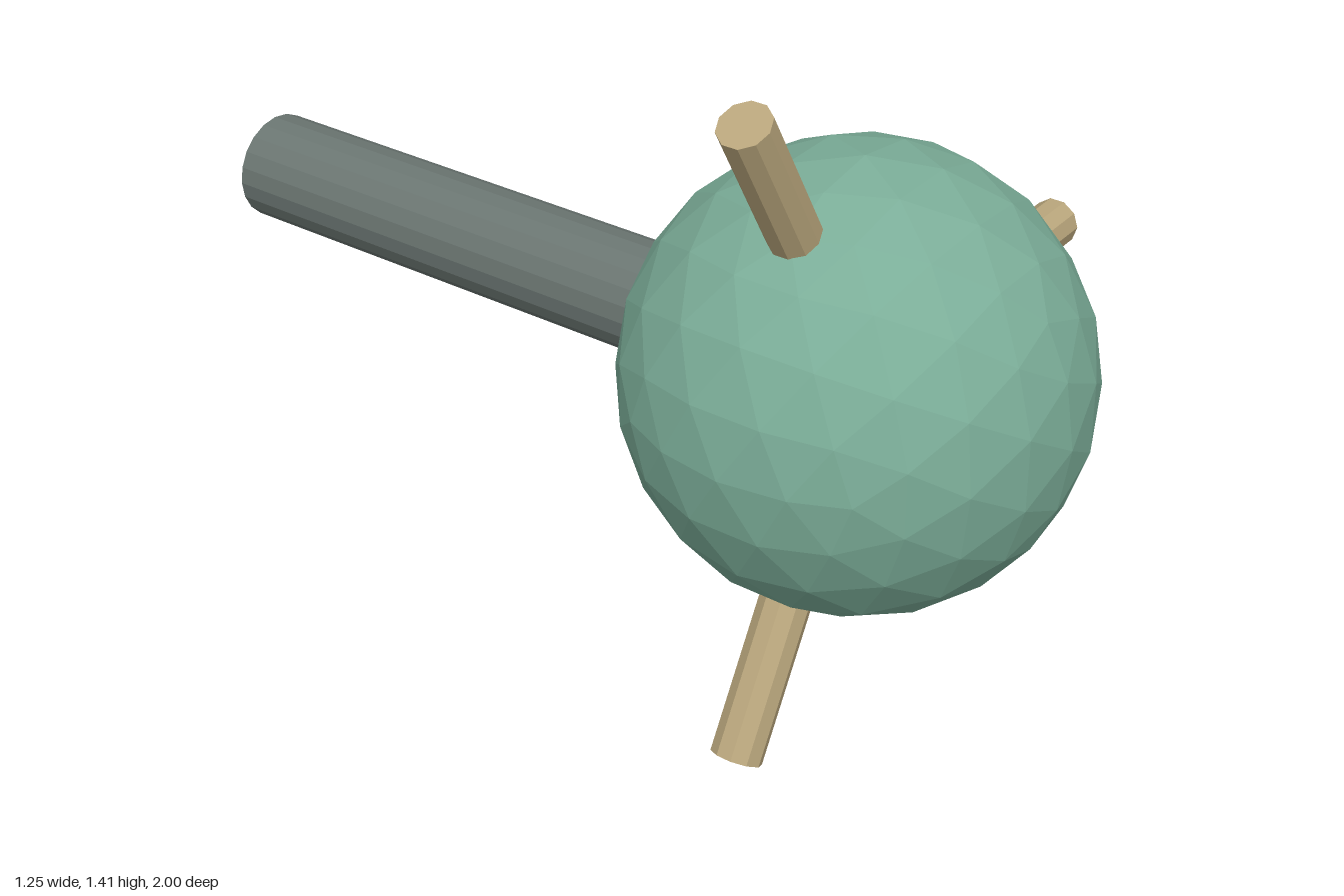
import * as THREE from 'three';

const CENTER = new THREE.Vector3(-0.158, 0.705, 0.533);
const BALL_RADIUS = 0.467;
const PEG_REACH = 0.783; // from ball centre to peg tip

export function createModel() {
  const model = new THREE.Group();
  model.name = 'peggedBall';

  const mat = (name, color) => {
    const m = new THREE.MeshStandardMaterial({ color, flatShading: true });
    m.name = name;
    return m;
  };
  const green = mat('sageGreen', 0x7bad98);
  const tan = mat('tan', 0xb9a67c);
  const grey = mat('slateGrey', 0x6b7672);

  const add = (name, geometry, material) => {
    const mesh = new THREE.Mesh(geometry, material);
    mesh.name = name;
    model.add(mesh);
    return mesh;
  };

  // faceted ball
  add('ball', new THREE.IcosahedronGeometry(BALL_RADIUS, 3), green).position.copy(CENTER);

  // three pegs spread evenly around the ball
  const pegStart = 0.3;
  const pegLength = PEG_REACH - pegStart;
  ['leftPeg', 'upperPeg', 'lowerPeg'].forEach((name, i) => {
    const angle = (i * Math.PI * 2) / 3;
    const peg = add(name, new THREE.CylinderGeometry(0.0525, 0.0525, pegLength, 10), tan);
    const mid = pegStart + pegLength / 2;
    peg.position.set(
      CENTER.x + Math.cos(angle) * mid,
      CENTER.y + Math.sin(angle) * mid,
      CENTER.z
    );
    peg.rotation.z = angle - Math.PI / 2;
  });

  // long shaft running straight back
  const shaftFront = CENTER.z - 0.3;
  const shaftLength = shaftFront + 1;
  const shaft = add('shaft', new THREE.CylinderGeometry(0.116, 0.116, shaftLength, 20), grey);
  shaft.rotation.x = Math.PI / 2;
  shaft.position.set(CENTER.x, CENTER.y, shaftFront - shaftLength / 2);

  return model;
}
